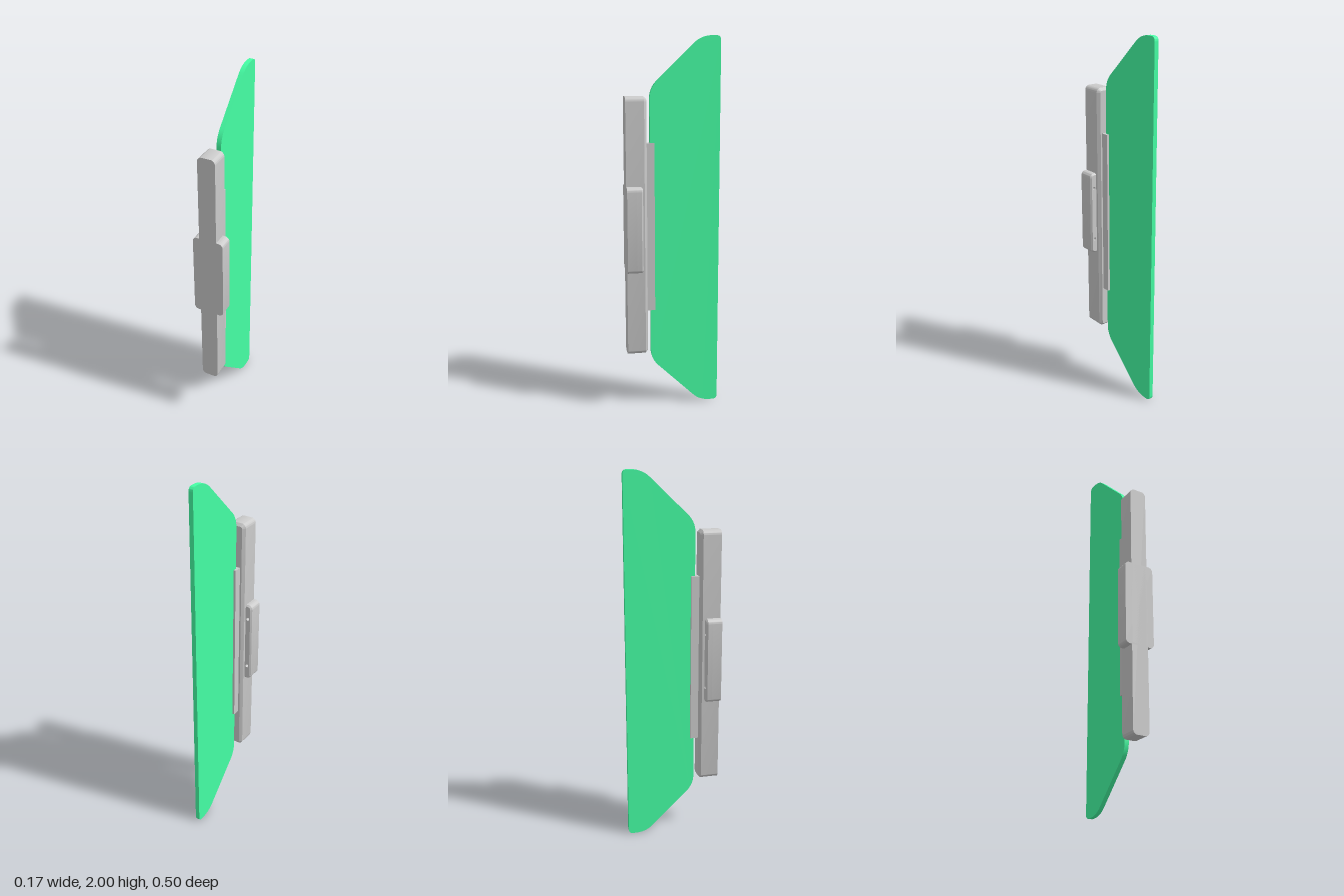
import * as THREE from 'three';
import { toCreasedNormals } from 'three/addons/utils/BufferGeometryUtils.js';

const grey = new THREE.MeshStandardMaterial({ color: 0xcccccc });
const green = new THREE.MeshStandardMaterial({ color: 0x45ffa5 });
const MID_Y = 1.003;

function addMesh(parent, name, geometry, material) {
  const mesh = new THREE.Mesh(toCreasedNormals(geometry, 0.5), material);
  mesh.name = name;
  parent.add(mesh);
  return mesh;
}

// Closed outline whose corners are rounded; each point is [x, y, cut length]
function roundedOutline(points) {
  const shape = new THREE.Shape();
  const n = points.length;
  points.forEach(([x, y, cut], i) => {
    const p = new THREE.Vector2(x, y);
    const toward = ([qx, qy]) =>
      new THREE.Vector2(qx, qy).sub(p).setLength(cut).add(p);
    const a = toward(points[(i + n - 1) % n]);
    const b = toward(points[(i + 1) % n]);
    if (i === 0) shape.moveTo(a.x, a.y);
    else shape.lineTo(a.x, a.y);
    shape.quadraticCurveTo(x, y, b.x, b.y);
  });
  shape.closePath();
  return shape;
}

// Upright block with rounded corners, from zBack to zFront, chamfered at the back
function block(hw, hh, r, zBack, zFront, chamfer = 0, holes = []) {
  const shape = new THREE.Shape();
  const cx = hw - r, cy = hh - r;
  shape.absarc(cx, cy, r, 0, Math.PI / 2);
  shape.absarc(-cx, cy, r, Math.PI / 2, Math.PI);
  shape.absarc(-cx, -cy, r, Math.PI, Math.PI * 1.5);
  shape.absarc(cx, -cy, r, Math.PI * 1.5, Math.PI * 2);
  for (const [x, y, radius] of holes) {
    shape.holes.push(new THREE.Path().absarc(x, y, radius, 0, Math.PI * 2, true));
  }
  const depth = zFront - zBack;
  const geo = new THREE.ExtrudeGeometry(shape, {
    depth, steps: chamfer ? 2 : 1, bevelEnabled: false, curveSegments: 8,
  });
  if (chamfer) {
    const pos = geo.attributes.position;
    const k = (r - chamfer) / r;
    for (let i = 0; i < pos.count; i++) {
      const x = pos.getX(i), y = pos.getY(i), z = pos.getZ(i);
      if (z < 1e-5 && Math.abs(y) > cy - 1e-5) {
        // Pull the rear outline in toward its corner centres
        const ox = Math.sign(x) * cx, oy = Math.sign(y) * cy;
        pos.setXY(i, ox + (x - ox) * k, oy + (y - oy) * k);
      } else if (z > 1e-5 && z < depth - 1e-5) {
        pos.setZ(i, chamfer);
      }
    }
  }
  return geo.translate(0, MID_Y, zBack);
}

export function createModel() {
  const model = new THREE.Group();
  model.name = 'bladeWithHandle';

  // Thin trapezoid blade, drawn with outline x pointing to the back
  const outline = roundedOutline([
    [0.253, 0, 0.025], [0.253, 2, 0.025],
    [-0.155 + 0.31, 2, 0.055], [-0.12, 1.735, 0.055],
    [-0.12, 0.265, 0.055], [-0.155 + 0.31, 0, 0.055],
  ]);
  const bladeGeo = new THREE.ExtrudeGeometry(outline, {
    depth: 0.024, bevelEnabled: false, curveSegments: 8,
  });
  bladeGeo.translate(0, 0, -0.012).rotateY(Math.PI / 2);
  addMesh(model, 'blade', bladeGeo, green);

  // Rail that grips the blade edge
  const rail = new THREE.BoxGeometry(0.048, 0.905, 0.05);
  addMesh(model, 'rail', rail.translate(0, MID_Y, 0.123), grey);

  // Long handle bar
  addMesh(model, 'handleBar', block(0.047, 0.692, 0.025, 0.14, 0.251, 0.014), grey);

  // Wide centre grip: solid front, rear half with blind screw holes
  const grip = new THREE.Group();
  grip.name = 'centreGrip';
  const holes = [];
  for (const sx of [-1, 1]) {
    for (const sy of [-1, 1]) holes.push([sx * 0.061, sy * 0.148, 0.009]);
  }
  addMesh(grip, 'gripFront', block(0.083, 0.23, 0.024, 0.2, 0.251), grey);
  addMesh(grip, 'gripRear', block(0.083, 0.23, 0.024, 0.167, 0.2, 0.008, holes), grey);
  model.add(grip);

  return model;
}
